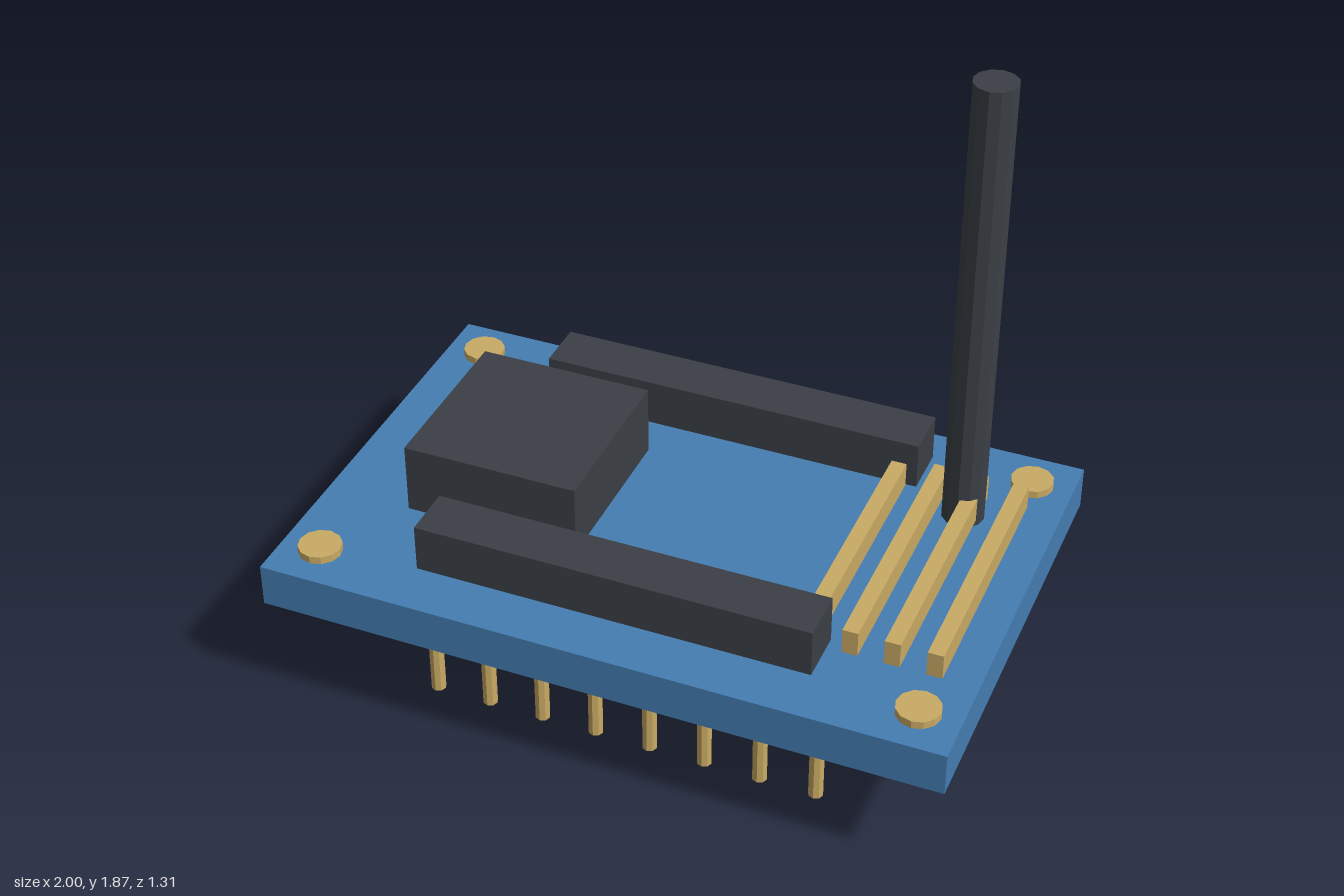
import * as THREE from 'three';

const paint = (name, color) => {
  const m = new THREE.MeshStandardMaterial({ color });
  m.name = name;
  m.flatShading = true;
  return m;
};

export function createModel() {
  const blue = paint('board blue', 0x447db2);
  const gold = paint('contact gold', 0xc9aa64);
  const dark = paint('charcoal plastic', 0x3b4046);
  const silver = paint('silver lead', 0xb9bdc1);

  const model = new THREE.Group();
  model.name = 'circuitModule';

  const add = (name, geometry, material, x, y, z) => {
    const mesh = new THREE.Mesh(geometry, material);
    mesh.name = name;
    mesh.position.set(x, y, z);
    model.add(mesh);
  };
  // Boxes and posts are placed by their bottom and top heights
  const box = (name, mat, x, z, w, d, y0, y1) =>
    add(name, new THREE.BoxGeometry(w, y1 - y0, d), mat, x, (y0 + y1) / 2, z);
  const post = (name, mat, x, z, r, y0, y1, sides) =>
    add(name, new THREE.CylinderGeometry(r, r, y1 - y0, sides), mat, x, (y0 + y1) / 2, z);

  const under = 0.345, top = 0.475;
  box('board', blue, 0, 0, 2, 1.31, under, top);

  // Main chip with three leads on each long side
  box('chip', dark, -0.477, 0, 0.525, 0.52, top, 0.69);
  for (const side of [-1, 1]) {
    for (const x of [-0.623, -0.475, -0.328]) {
      box('chipLead', silver, x, side * 0.295, 0.047, 0.07, 0.478, 0.513);
    }
  }

  // Header strips, with a row of pins below each
  for (const side of [-1, 1]) {
    box('headerStrip', dark, 0, side * 0.44, 1.16, 0.155, 0.497, 0.64);
    for (let i = 0; i < 8; i++) {
      post('headerPin', gold, -0.58 + i * 1.16 / 7, side * 0.44, 0.022, 0, under, 8);
    }
  }

  // Raised gold bars
  for (let i = 0; i < 4; i++) {
    box('contactBar', gold, 0.525 + i * 0.1183, 0, 0.045, 0.79, 0.493, 0.569);
  }

  // Corner pads
  for (const x of [-0.88, 0.88]) {
    for (const z of [-0.525, 0.525]) post('cornerPad', gold, x, z, 0.063, top, 0.498, 12);
  }

  post('antenna', dark, 0.735, -0.32, 0.063, top, 1.873, 12);
  return model;
}
